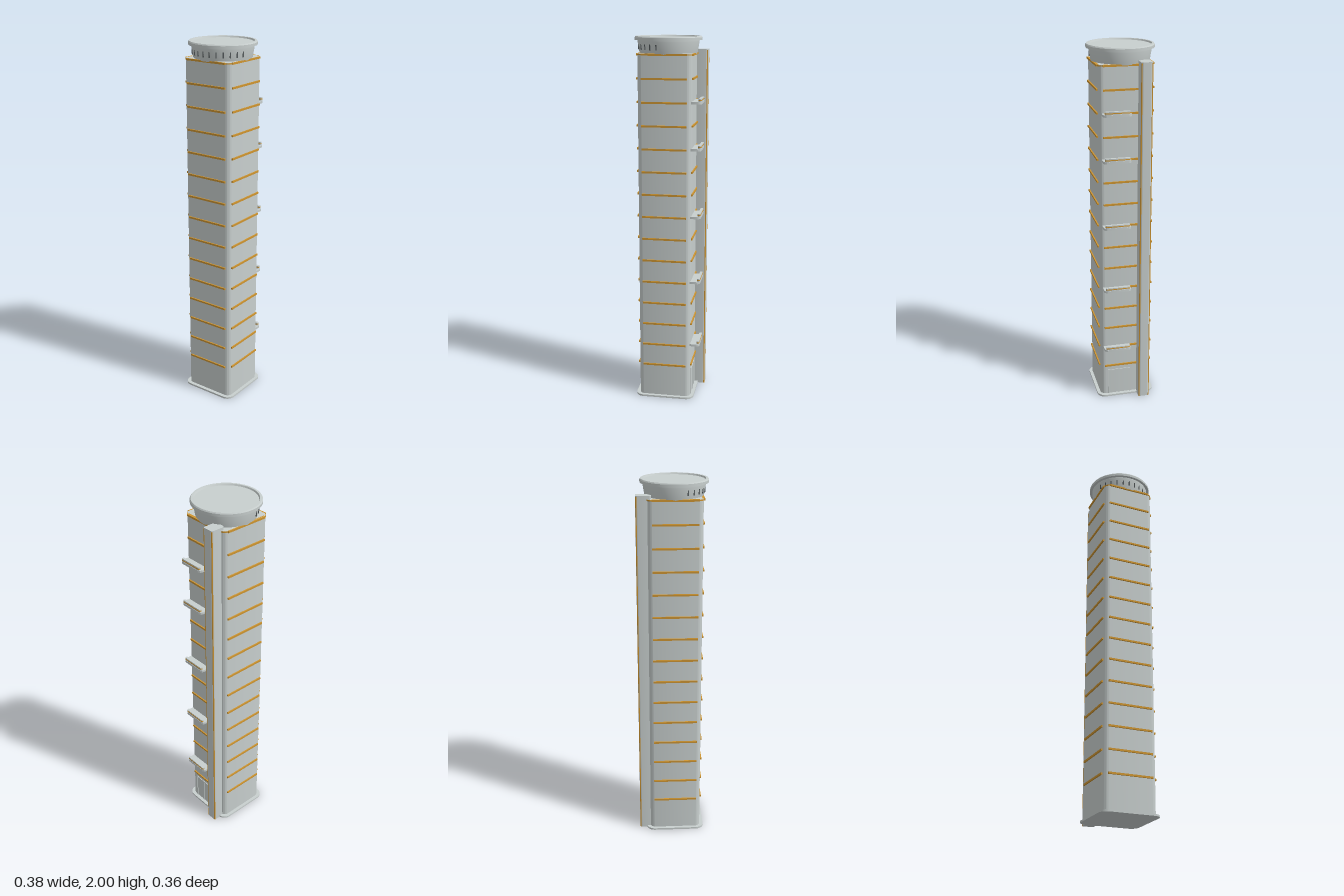
import * as THREE from 'three';
import { toCreasedNormals } from 'three/addons/utils/BufferGeometryUtils.js';

const material = (name, color) => {
  const m = new THREE.MeshStandardMaterial({ color });
  m.name = name;
  return m;
};

export function createModel() {
  const model = new THREE.Group();
  model.name = 'tower';
  const concrete = material('pale concrete', 0xc8cfce);
  const gold = material('gold trim', 0xcf9632);
  const dark = material('dark opening', 0x565c5e);
  const CX = -0.012; // centre of the main shaft
  const HX = 0.143, HZ = 0.145; // half width and half depth of the shaft

  const add = (name, geometry, mat, x = 0, y = 0, z = 0, parent = model) => {
    const mesh = new THREE.Mesh(geometry, mat);
    mesh.name = name;
    mesh.position.set(x, y, z);
    parent.add(mesh);
    return mesh;
  };

  // Upright prism with rounded plan corners, standing on y = 0
  const prism = (w, d, h, r) => {
    const s = new THREE.Shape(), a = w / 2, b = d / 2;
    s.absarc(a - r, b - r, r, 0, Math.PI / 2);
    s.absarc(-a + r, b - r, r, Math.PI / 2, Math.PI);
    s.absarc(-a + r, -b + r, r, Math.PI, Math.PI * 1.5);
    s.absarc(a - r, -b + r, r, Math.PI * 1.5, Math.PI * 2);
    const g = new THREE.ExtrudeGeometry(s, { depth: h, bevelEnabled: false, curveSegments: 8 });
    g.rotateX(-Math.PI / 2);
    return toCreasedNormals(g, 0.6);
  };

  // Base and shaft
  add('basePlate', prism(0.326, 0.326, 0.01, 0.045), concrete, CX, 0, 0);
  add('shaft', prism(HX * 2, HZ * 2, 1.915, 0.03), concrete, CX, 0, 0);
  add('topTrim', prism(HX * 2 + 0.006, HZ * 2 + 0.006, 0.006, 0.033), gold, CX, 1.907, 0);

  // Floor bands on the four faces
  const bandX = new THREE.BoxGeometry(0.24, 0.01, 0.014);
  const bandZ = new THREE.BoxGeometry(0.014, 0.01, 0.244);
  const floors = [];
  for (let i = 0; i < 15; i++) floors.push(0.195 + i * 0.1225);
  floors.forEach((y) => {
    for (const s of [-1, 1]) {
      add('floorBand', bandX, gold, CX, y, s * HZ);
      add('floorBand', bandZ, gold, CX + s * HX, y, 0);
    }
  });

  // Stair column with gold edge strips
  add('stairColumn', prism(0.08, 0.063, 1.93, 0.012), concrete, 0.15, 0, -0.0935);
  const strip = new THREE.CylinderGeometry(0.004, 0.004, 1.925, 8);
  for (const z of [-0.0665, -0.1205]) add('edgeStrip', strip, gold, 0.1855, 0.9625, z);

  // Balconies with a raised parapet trimmed in gold
  const slab = prism(0.072, 0.15, 0.012, 0.02);
  const parapet = prism(0.015, 0.133, 0.016, 0.006);
  const rail = prism(0.017, 0.135, 0.005, 0.007);
  for (const i of [1, 4, 7, 10, 12]) {
    const balcony = new THREE.Group();
    balcony.name = 'balcony';
    balcony.position.set(0, floors[i] - 0.006, 0.055);
    add('slab', slab, concrete, 0.146, 0, 0, balcony);
    add('parapet', parapet, concrete, 0.173, 0.012, 0, balcony);
    add('rail', rail, gold, 0.173, 0.017, 0, balcony);
    model.add(balcony);
  }

  // Entrance frame and door leaves on the right-hand face
  const doorX = CX + HX;
  for (const z of [-0.022, 0.04, 0.102])
    add('doorPost', new THREE.BoxGeometry(0.008, 0.15, 0.006), concrete, doorX, 0.085, z);
  add('doorLintel', new THREE.BoxGeometry(0.008, 0.006, 0.13), concrete, doorX, 0.163, 0.04);

  // Round crown: drum, overhanging rim and sunken roof
  const profile = [
    [0, 1.91], [0.152, 1.91], [0.155, 1.925], [0.163, 1.972], [0.163, 1.98],
    [0.178, 1.98], [0.178, 1.994], [0.174, 2.0], [0.163, 2.0],
    [0.159, 1.992], [0, 1.992],
  ].map(([r, y]) => new THREE.Vector2(r, y));
  add('crown', toCreasedNormals(new THREE.LatheGeometry(profile, 64), 0.4), concrete, CX, 0, 0);

  // Narrow slots around one half of the drum
  const slot = new THREE.BoxGeometry(0.006, 0.028, 0.005);
  for (let a = 14; a <= 166; a += 13) {
    const t = -THREE.MathUtils.degToRad(a);
    const m = add('drumSlot', slot, dark, CX + Math.sin(t) * 0.1585, 1.946, Math.cos(t) * 0.1585);
    m.rotation.y = t;
  }
  return model;
}
